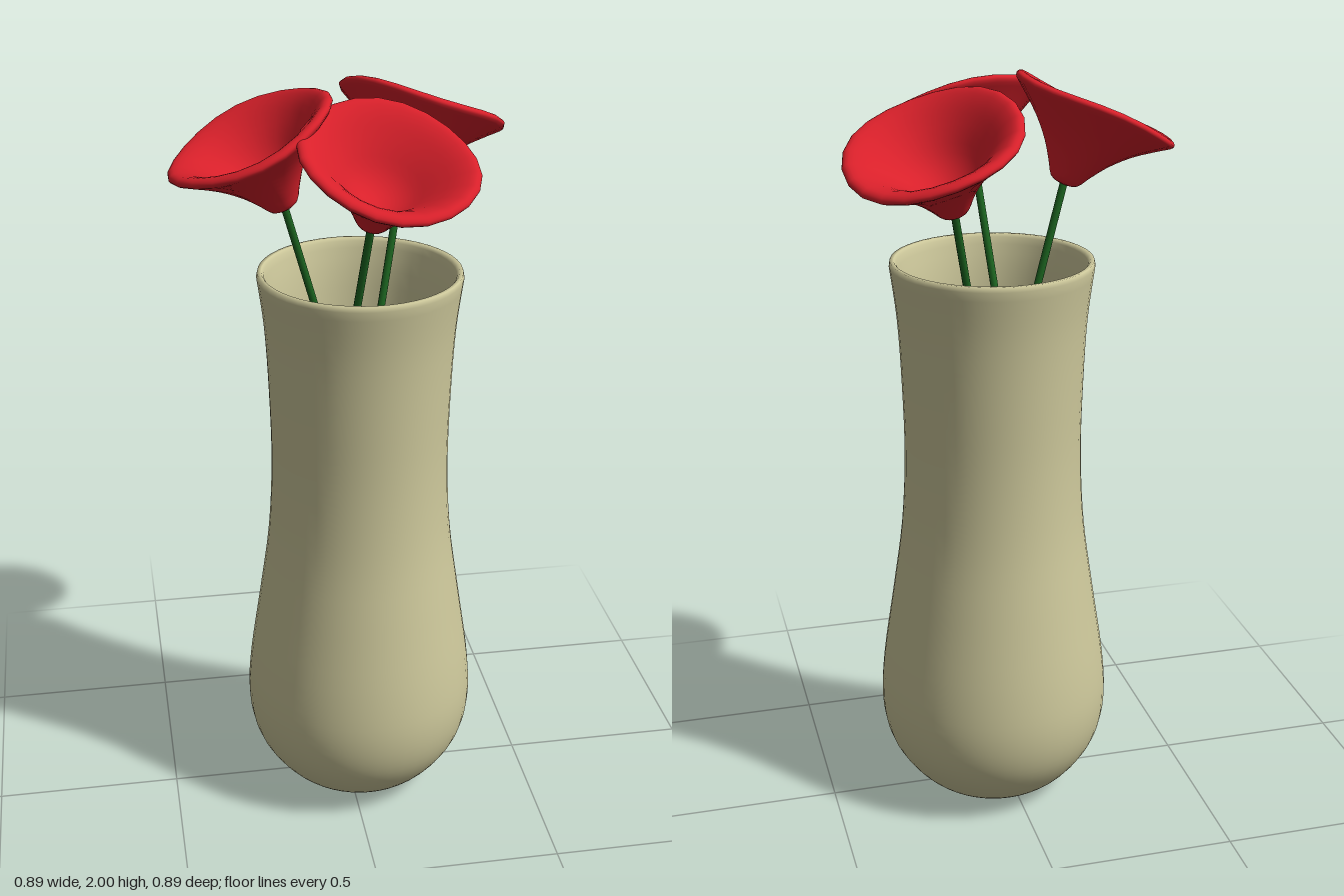
import * as THREE from 'three';
import { mergeVertices } from 'three/addons/utils/BufferGeometryUtils.js';

const vaseMat = new THREE.MeshStandardMaterial({ color: 0xcdc89b });
const petalMat = new THREE.MeshStandardMaterial({ color: 0xd8202a });
const stemMat = new THREE.MeshStandardMaterial({ color: 0x1c6420 });

const toPoints = (pairs) => pairs.map(([r, y]) => new THREE.Vector2(r, y));

// Smooth profile through [radius, height] pairs
function smoothProfile(pairs, samples) {
  const points = new THREE.SplineCurve(toPoints(pairs)).getPoints(samples);
  points.forEach((p) => { p.x = Math.max(p.x, 0); });
  return points;
}

// Vase: outer wall up, rounded lip, inner wall down to the floor
function createVase() {
  const outer = smoothProfile([
    [0.13, 0.005], [0.19, 0.03], [0.25, 0.09], [0.295, 0.17], [0.313, 0.27], [0.305, 0.4],
    [0.275, 0.6], [0.247, 0.8], [0.236, 1.0], [0.239, 1.2], [0.248, 1.38], [0.265, 1.52],
  ], 44);
  const inner = smoothProfile([
    [0.246, 1.525], [0.228, 1.42], [0.215, 1.2], [0.211, 1.0], [0.222, 0.8], [0.25, 0.6],
    [0.28, 0.4], [0.285, 0.27], [0.265, 0.17], [0.2, 0.08], [0.1, 0.045], [0, 0.04],
  ], 40);
  const profile = [...toPoints([[0, 0], [0.12, 0]]), ...outer, ...toPoints([[0.262, 1.533], [0.252, 1.533]]), ...inner];
  const vase = new THREE.Mesh(new THREE.LatheGeometry(profile, 48), vaseMat);
  vase.name = 'vase';
  vase.position.x = 0.035;
  return vase;
}

// Trumpet-shaped blossom opening along +y, with a gently wavy rolled lip
function createBlossomGeometry() {
  const profile = smoothProfile([
    [0, -0.012], [0.035, -0.004], [0.058, 0.03], [0.09, 0.075], [0.135, 0.122], [0.19, 0.165],
    [0.219, 0.187], [0.218, 0.2], [0.2, 0.204], [0.165, 0.185], [0.12, 0.145], [0.075, 0.1],
    [0.035, 0.078], [0, 0.072],
  ], 36);
  let geometry = new THREE.LatheGeometry(profile, 22);
  geometry.deleteAttribute('uv');
  geometry.deleteAttribute('normal');
  geometry = mergeVertices(geometry, 1e-4);
  const pos = geometry.attributes.position;
  for (let i = 0; i < pos.count; i++) {
    const x = pos.getX(i), z = pos.getZ(i);
    const weight = (x * x + z * z) / 0.048;
    pos.setY(i, pos.getY(i) + 0.006 * weight * Math.sin(3 * Math.atan2(z, x)));
  }
  geometry.computeVertexNormals();
  return geometry;
}

// Flower: straight stem from foot to base, blossom leaning from base towards mouth
function createFlower(name, blossomGeometry, foot, base, mouth) {
  const flower = new THREE.Group();
  flower.name = name;
  const [a, b, c] = [foot, base, mouth].map((p) => new THREE.Vector3(...p));
  const up = new THREE.Vector3(0, 1, 0);

  const along = b.clone().sub(a);
  const stem = new THREE.Mesh(new THREE.CylinderGeometry(0.01, 0.01, along.length(), 10), stemMat);
  stem.name = 'stem';
  stem.position.copy(a).add(b).multiplyScalar(0.5);
  stem.quaternion.setFromUnitVectors(up, along.normalize());

  const blossom = new THREE.Mesh(blossomGeometry, petalMat);
  blossom.name = 'blossom';
  blossom.position.copy(b);
  blossom.quaternion.setFromUnitVectors(up, c.sub(b).normalize());

  flower.add(stem, blossom);
  return flower;
}

export function createModel() {
  const model = new THREE.Group();
  model.name = 'vaseWithFlowers';
  const blossom = createBlossomGeometry();
  model.add(
    createVase(),
    createFlower('rightFlower', blossom, [0.07, 0.9, -0.045], [-0.16, 1.722, 0.016], [-0.243, 1.9, 0.025]),
    createFlower('frontFlower', blossom, [-0.04, 0.9, -0.085], [0.035, 1.712, 0.163], [0.063, 1.89, 0.24]),
    createFlower('backFlower', blossom, [0.01, 0.9, 0.015], [0.174, 1.712, -0.178], [0.237, 1.89, -0.237]),
  );
  return model;
}
